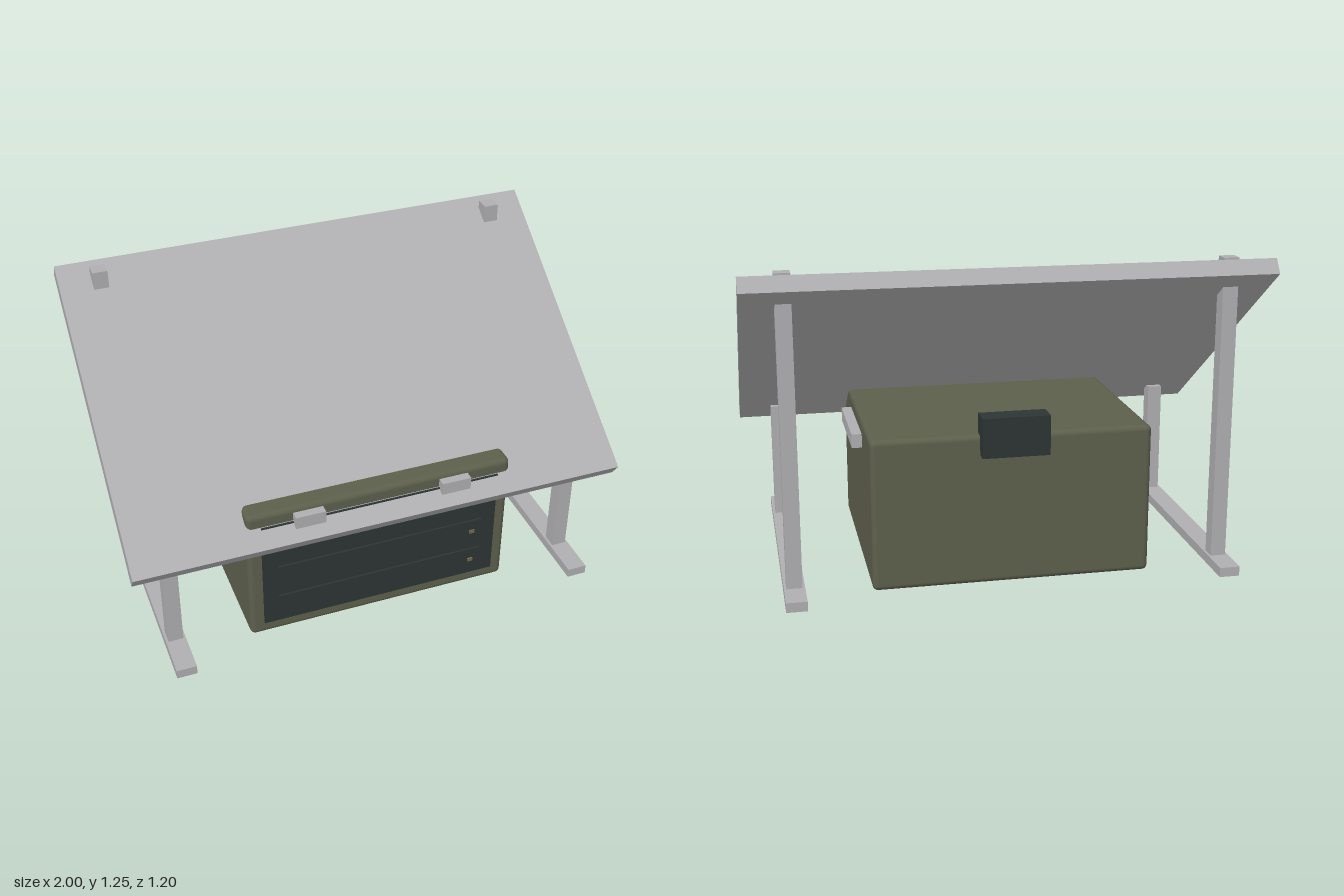
import * as THREE from 'three';
import { RoundedBoxGeometry } from 'three/addons/geometries/RoundedBoxGeometry.js';

export function createModel() {
  const model = new THREE.Group();
  model.name = 'shelteredCabinet';

  const mat = (name, color) => {
    const m = new THREE.MeshStandardMaterial({ color });
    m.name = name;
    return m;
  };
  const grey = mat('light grey', 0xafafb2);
  const olive = mat('olive', 0x5d5f4c);
  const dark = mat('dark slate', 0x2d3535);
  const tan = mat('dull tan', 0x71664c);

  const add = (name, geometry, material, x, y, z) => {
    const mesh = new THREE.Mesh(geometry, material);
    mesh.name = name;
    mesh.position.set(x, y, z);
    model.add(mesh);
    return mesh;
  };
  // Box from its min and max on each axis
  const box = (name, material, [x0, x1], [y0, y1], [z0, z1]) =>
    add(name, new THREE.BoxGeometry(x1 - x0, y1 - y0, z1 - z0), material,
      (x0 + x1) / 2, (y0 + y1) / 2, (z0 + z1) / 2);

  // Sloping roof panel
  const roof = add('roof', new THREE.BoxGeometry(2, 0.066, 1.304), grey, 0, 0.846, 0);
  roof.rotation.x = THREE.MathUtils.degToRad(34.9);

  // Stand and side handles, mirrored
  for (const s of [-1, 1]) {
    const span = (a, b) => (s > 0 ? [a, b] : [-b, -a]);
    box('runner', grey, span(0.8, 0.88), [0.008, 0.046], [-0.6, 0.6]);
    box('frontPost', grey, span(0.81, 0.87), [0.04, 0.525], [0.375, 0.435]);
    box('backPost', grey, span(0.81, 0.87), [0.04, 1.245], [-0.47, -0.41]);
    box('sideHandle', grey, span(0.53, 0.585), [0.5, 0.555], [-0.2, 0.2]);
    box('frontLatch', grey, span(0.24, 0.36), [0.535, 0.587], [0.46, 0.515]);
  }

  // Cabinet body
  add('cabinet', new RoundedBoxGeometry(1.09, 0.597, 0.96, 3, 0.022), olive, 0, 0.3085, 0);

  // Front panel with three drawers and their knobs
  box('frontPanel', dark, [-0.49, 0.49], [0.068, 0.55], [0.46, 0.489]);
  for (const y of [0.148, 0.296, 0.444]) {
    box('drawer', dark, [-0.43, 0.43], [y - 0.052, y + 0.052], [0.48, 0.497]);
    box('drawerKnob', tan, [0.377, 0.397], [y - 0.007, y + 0.007], [0.49, 0.504]);
  }

  // Box on the upper back edge
  box('backUnit', dark, [-0.13, 0.13], [0.53, 0.685], [-0.53, -0.44]);

  // Low feet under the cabinet
  for (const x of [-0.24, 0.24])
    for (const z of [-0.18, 0.18])
      add('foot', new THREE.CylinderGeometry(0.03, 0.03, 0.02, 16), dark, x, 0.01, z);

  return model;
}
